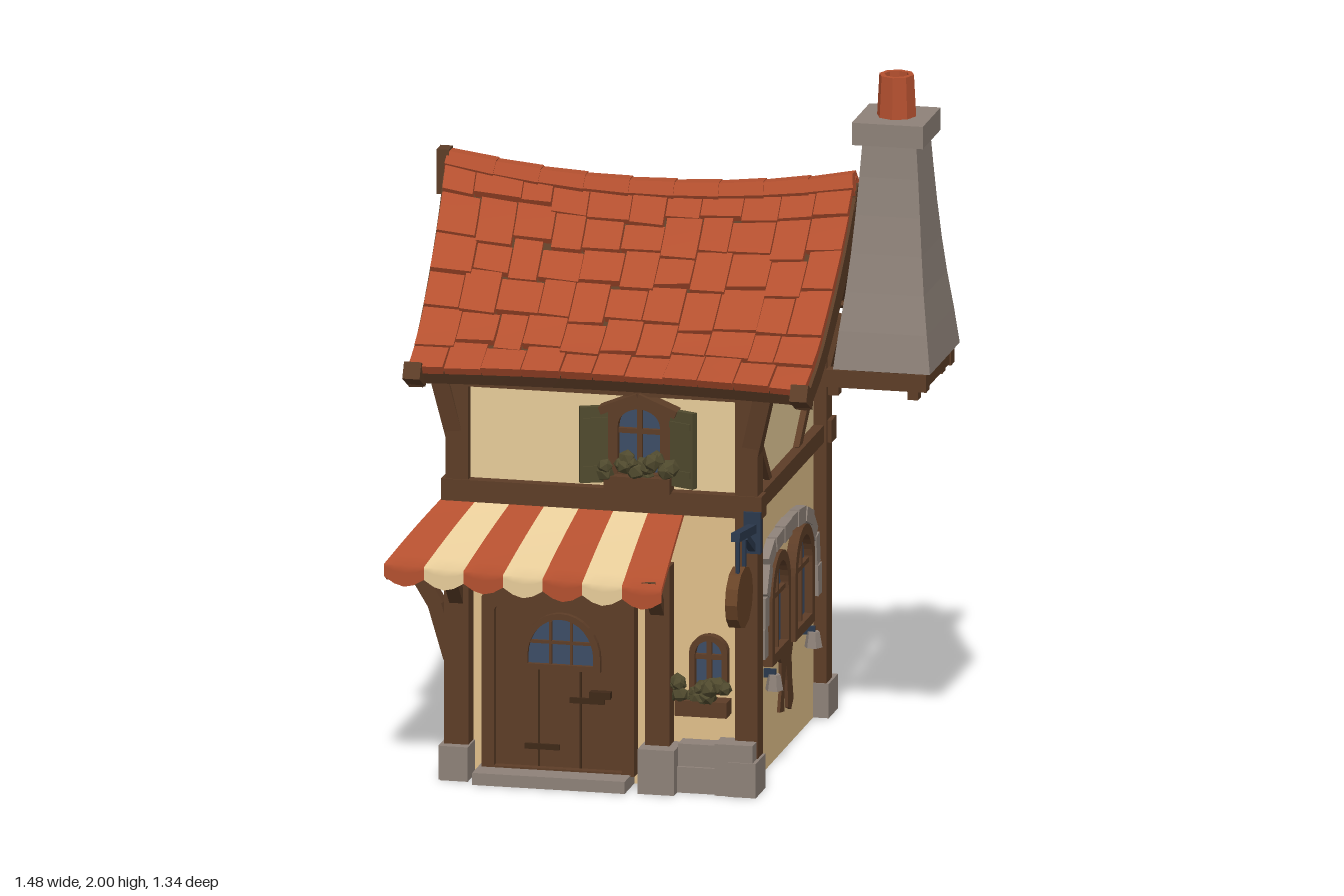
import * as THREE from 'three';
import { mergeGeometries } from 'three/addons/utils/BufferGeometryUtils.js';

const paint = (name, color) => { const m = new THREE.MeshStandardMaterial({ color }); m.name = name; return m; };
const V = (x, y, z = 0) => new THREE.Vector3(x, y, z);
const lerp = THREE.MathUtils.lerp;

export function createModel() {
  const cream = paint('cream plaster', 0xe0c08a), pale = paint('pale cream', 0xe8cd9a);
  const brown = paint('timber brown', 0x5d3d27), dark = paint('dark wood', 0x3f2918);
  const red = paint('terracotta', 0xb4502f), stone = paint('grey stone', 0x8e8279);
  const glass = paint('blue glass', 0x3c4d66), olive = paint('olive green', 0x504a2e);
  const iron = paint('blue iron', 0x2b394d), signWood = paint('sign wood', 0x684327);
  const house = new THREE.Group();
  house.name = 'house';
  let seed = 7;
  const rand = () => (seed = (seed * 16807) % 2147483647) / 2147483647;

  const add = (name, geo, mat, parent = house, pos = [0, 0, 0]) => {
    const m = new THREE.Mesh(geo, mat);
    m.name = name; m.position.set(...pos); parent.add(m);
    return m;
  };
  const flat = g => { const f = g.index ? g.toNonIndexed() : g; f.computeVertexNormals(); return f; };
  // Box given by its lower and upper limits
  const block = (name, mat, [x0, x1], [y0, y1], [z0, z1], parent) =>
    add(name, new THREE.BoxGeometry(x1 - x0, y1 - y0, z1 - z0), mat, parent, [(x0 + x1) / 2, (y0 + y1) / 2, (z0 + z1) / 2]);
  // Straight timber between two points
  const beam = (name, mat, a, b, w, d, parent) => {
    const p = V(...a), q = V(...b), dir = q.clone().sub(p);
    const m = add(name, new THREE.BoxGeometry(w, dir.length(), d), mat, parent, p.add(q).multiplyScalar(0.5).toArray());
    m.quaternion.setFromUnitVectors(V(0, 1), dir.normalize());
  };
  // Slab bent over a surface fn(u, v, height)
  const slab = (fn, [u0, u1], [v0, v1], [h0, h1], su, sv) => {
    const g = new THREE.BoxGeometry(1, 1, 1, su, 1, sv), p = g.attributes.position;
    for (let i = 0; i < p.count; i++)
      p.setXYZ(i, ...fn(lerp(u0, u1, p.getX(i) + 0.5), lerp(v0, v1, p.getZ(i) + 0.5), lerp(h0, h1, p.getY(i) + 0.5)));
    g.computeVertexNormals();
    return g;
  };
  const polygon = pts => new THREE.Shape(pts.map(p => new THREE.Vector2(...p)));
  const extrude = (shape, depth) => new THREE.ExtrudeGeometry(shape, { depth, bevelEnabled: false, curveSegments: 8 });
  const arch = (w, h, rise, y = 0) => {
    const s = new THREE.Shape();
    s.moveTo(-w / 2, y); s.lineTo(w / 2, y); s.lineTo(w / 2, h - rise);
    s.absellipse(0, h - rise, w / 2, rise, 0, Math.PI, false, 0);
    return s;
  };
  const place = (name, pos, turn = 0) => {
    const g = new THREE.Group();
    g.name = name; g.position.set(...pos); g.rotation.y = turn; house.add(g);
    return g;
  };

  // Plaster walls: lower storey, then upper storey with curved gables
  block('lowerWalls', cream, [-0.57, 0.265], [0, 0.83], [-0.48, 0.39]);
  const gable = polygon([[-0.48, 0.83], [0.39, 0.83], [0.39, 1.22], [0.2, 1.35], [0.08, 1.47], [-0.04, 1.58], [-0.16, 1.47], [-0.28, 1.35], [-0.48, 1.2]]);
  add('upperWalls', extrude(gable, 0.835), pale, house, [0.265, 0, 0]).rotation.y = -Math.PI / 2;

  // Corner posts, foot stones, knee brackets and horizontal beams
  for (const x of [-0.565, 0.27]) for (const z of [-0.47, 0.385]) {
    beam('cornerPost', brown, [x, 0.08, z], [x, 1.2, z], 0.065, 0.07);
    block('footStone', stone, [x - 0.04, x + 0.04], [0, 0.1], [z - (z < 0 ? 0.075 : 0.03), z + (z < 0 ? 0.04 : 0.09)]);
    const sx = Math.sign(x), sz = Math.sign(z);
    beam('kneeBracket', brown, [x, 0.95, z], [x + sx * 0.05, 1.16, z + sz * 0.02], 0.05, 0.06);
  }
  for (const [y, h] of [[0.83, 0.065], [1.165, 0.06]]) for (const z of [-0.475, 0.395])
    beam('longBeam', brown, [-0.61, y, z], [0.315, y, z], h, 0.06);
  for (const x of [-0.57, 0.27]) {
    beam('gableBeam', brown, [x, 0.825, -0.5], [x, 0.825, 0.42], 0.05, 0.05);
    beam('gableBrace', brown, [x, 1.07, 0.36], [x, 0.84, 0.16], 0.025, 0.025);
    beam('gableBrace', brown, [x, 1.05, -0.44], [x, 0.84, -0.19], 0.025, 0.03);
    beam('gablePost', brown, [x, 1.35, -0.04], [x, 1.58, -0.04], 0.05, 0.05);
  }
  // Rear framing
  beam('rearSill', brown, [-0.56, 0.14, -0.48], [0.27, 0.14, -0.48], 0.055, 0.04);
  for (const s of [1, -1]) beam('rearCrossBrace', brown, [-0.147 - s * 0.38, 0.17, -0.483], [-0.147 + s * 0.38, 0.8, -0.483], 0.06, 0.03);

  // Sagging, swept roof: u along the ridge, v from ridge to eave
  const sweep = new THREE.CatmullRomCurve3([V(0, 1.615), V(0.11, 1.485), V(0.24, 1.37), V(0.4, 1.255), V(0.55, 1.19)]);
  const roof = side => (u, v, h) => {
    const w = side > 0 ? u : 1 - u, t = 2 * w - 1, p = sweep.getPoint(v);
    const span = (side > 0 ? 0.52 + 0.045 * t * t : 0.54 + 0.055 * t * t) / 0.55;
    return [lerp(-0.7 + 0.02 * v, 0.48 - 0.015 * v, w), p.y + 0.055 * t * t * (1 - v) + h * 0.85, -0.04 + side * (p.x * span + h * 0.5)];
  };
  for (const side of [1, -1]) {
    const fn = roof(side), tiles = [], rows = 6, cols = 11;
    add('roofBoards', slab(fn, [0.005, 0.995], [0, 0.99], [-0.03, 0.004], 10, 8), brown);
    const jitter = (count, spread) => Array.from({ length: count + 1 }, (_, i) => (i + (i % count ? (rand() - 0.5) * spread : 0)) / count);
    const seams = Array.from({ length: rows }, () => jitter(cols, 0.3));
    for (let c = 0; c < cols; c++) {
      const edge = jitter(rows, 0.33);
      for (let r = 0; r < rows; r++) {
        const u0 = seams[r][c] + 0.001, u1 = seams[r][c + 1] - 0.001 - rand() * 0.002, last = r === rows - 1;
        const v0 = edge[r], v1 = edge[r + 1] - (last ? 0 : 0.005), top = 0.022 + rand() * 0.007, skew = last ? 0 : (rand() - 0.5) * 0.02;
        const tile = (u, v, h) => {
          const s = (v - v0) / (v1 - v0);
          return fn(u, v + skew * s * (u - u0) / (u1 - u0), h * (0.7 + 0.3 * s));
        };
        tiles.push(slab(tile, [u0, u1], [v0, v1], [0, top], 1, 2));
      }
    }
    add('roofTiles', mergeGeometries(tiles), red);
    add('eaveBeam', slab(fn, [0, 1], [0.93, 0.99], [-0.045, -0.005], 10, 1), brown);
    for (const e of [-0.005, 0.97]) {
      add('bargeBoard', slab((u, v, h) => fn(u, v, h * (1 - 0.35 * v)), [e, e + 0.035], [0, 1], [-0.085, -0.004], 1, 10), brown);
      const [x, y, z] = fn(e + 0.0175, 1, 0);
      beam('bargeTip', brown, [x, y - 0.025, z - side * 0.05], [x, y + 0.015, z + side * 0.025], 0.05, 0.05);
    }
  }
  // Ridge tiles and end finials
  const ridge = u => { const [x, y] = roof(1)(u, 0, 0); return [x, y - 0.006, -0.04]; };
  for (let i = 0; i < 9; i++) {
    const a = V(...ridge(i / 9)), b = V(...ridge((i + 1.08) / 9.08));
    const m = add('ridgeTile', flat(new THREE.CylinderGeometry(0.041, 0.037, a.distanceTo(b), 6)), red, house, a.clone().lerp(b, 0.5).toArray());
    m.quaternion.setFromUnitVectors(V(0, 1), b.sub(a).normalize());
  }
  block('ridgeFinial', brown, [-0.725, -0.69], [1.57, 1.7], [-0.065, -0.015]);
  block('ridgeFinial', brown, [0.46, 0.485], [1.54, 1.65], [-0.065, -0.015]);

  // Chimney: flared stack, cap, pot and timber cradle
  const stack = new THREE.BoxGeometry(1, 1, 1, 1, 6, 1), sp = stack.attributes.position;
  const flare = [[0.14, 0.185], [0.127, 0.168], [0.113, 0.145], [0.102, 0.124], [0.093, 0.107], [0.085, 0.094], [0.077, 0.086]];
  for (let i = 0; i < sp.count; i++) {
    const k = Math.round((sp.getY(i) + 0.5) * 6), [w, d] = flare[k];
    sp.setXYZ(i, 0.603 + sp.getX(i) * 2 * w, 1.18 + k * 0.108, -0.01 + sp.getZ(i) * 2 * d);
  }
  add('chimneyStack', flat(stack), stone);
  block('chimneyCap', stone, [0.5, 0.705], [1.815, 1.88], [-0.12, 0.1]);
  add('chimneyPot', flat(new THREE.LatheGeometry([[0.057, 1.87], [0.05, 2], [0.035, 2], [0.034, 1.9], [0, 1.9]].map(p => new THREE.Vector2(...p)), 8)), red, house, [0.604, 0, -0.01]);
  block('cradleFloor', dark, [0.48, 0.72], [1.165, 1.18], [-0.18, 0.16]);
  for (const s of [-1, 1]) {
    beam('cradleBeam', brown, [0.44, 1.15, s * 0.155 - 0.01], [0.73, 1.15, s * 0.155 - 0.01], 0.05, 0.04);
    block('cradleCross', brown, [0.6 + s * 0.105 - 0.02, 0.6 + s * 0.105 + 0.02], [1.13, 1.18], [-0.18, 0.16]);
    for (const x of [0.46, 0.69]) block('cradleFoot', brown, [x - 0.015, x + 0.015], [1.1, 1.14], [s * 0.15 - 0.03, s * 0.15 + 0.01]);
  }

  // Striped awning wrapping the front and left walls
  const awning = (ta, tb, ba, bb, n) => {
    const fn = (u, v, h) => {
      const s = Math.min(1, v / 0.8), drop = Math.max(0, v - 0.8) / 0.2;
      const p = V(...ta).lerp(V(...tb), u).lerp(V(...ba).lerp(V(...bb), u), s);
      const scallop = 0.02 + 0.025 * Math.abs(Math.sin(u * n * Math.PI));
      return [p.x, p.y + h + 0.004 * Math.sin(s * Math.PI) - drop * scallop, p.z];
    };
    for (let i = 0; i < n; i++)
      add('awningStripe', slab(fn, [i / n, (i + 1) / n], [0, 1], [-0.012, 0.005], 4, 10), i % 2 ? pale : red);
  };
  awning([-0.6, 0.81, 0.41], [0.09, 0.81, 0.41], [-0.74, 0.64, 0.57], [0.06, 0.61, 0.57], 7);
  awning([-0.59, 0.81, -0.46], [-0.6, 0.81, 0.41], [-0.74, 0.64, -0.575], [-0.74, 0.64, 0.57], 9);
  for (const z of [-0.45, 0.4]) {
    beam('awningStrut', brown, [-0.585, 0.34, z], [-0.635, 0.51, z], 0.04, 0.04);
    beam('awningStrut', brown, [-0.625, 0.49, z], [-0.71, 0.63, z], 0.045, 0.04);
  }

  // Front porch posts, stones and step
  for (const x of [-0.56, 0.02]) {
    block('porchPost', brown, [x - 0.035, x + 0.035], [0.08, 0.65], [0.39, 0.45]);
    beam('porchBrace', brown, [x, 0.52, 0.44], [x, 0.64, 0.55], 0.04, 0.03);
  }
  block('postStone', stone, [-0.6, -0.52], [0, 0.1], [0.36, 0.48]);
  block('postStone', stone, [-0.025, 0.08], [0, 0.13], [0.36, 0.5]);
  block('plinthStone', stone, [0.08, 0.19], [0, 0.075], [0.36, 0.46]);
  block('plinthStone', stone, [0.08, 0.2], [0.075, 0.14], [0.36, 0.45]);
  block('plinthStone', stone, [0.19, 0.3], [0, 0.15], [0.37, 0.47]);
  block('doorStep', stone, [-0.5, -0.06], [0, 0.035], [0.36, 0.51]);

  // Front door under a shallow arched lintel, with its little window
  const door = place('frontDoor', [-0.27, 0.03, 0.39]);
  const doorFrame = arch(0.44, 0.56, 0.06);
  doorFrame.holes.push(arch(0.37, 0.51, 0.05, 0.01));
  add('doorFrame', extrude(doorFrame, 0.045), brown, door);
  add('doorLeaf', extrude(arch(0.37, 0.51, 0.05), 0.02), brown, door);
  for (const x of [-0.06, 0.06]) block('plankGap', dark, [x - 0.003, x + 0.003], [0.01, 0.3], [0.019, 0.022], door);
  const pane = place('doorWindow', [-0.265, 0.325, 0.408]);
  const paneFrame = arch(0.23, 0.165, 0.13);
  paneFrame.holes.push(arch(0.19, 0.148, 0.11, 0.016));
  add('paneFrame', extrude(paneFrame, 0.02), brown, pane);
  add('paneGlass', extrude(arch(0.2, 0.153, 0.115, 0.01), 0.006), glass, pane);
  for (const x of [-0.03, 0.03]) block('paneBar', brown, [x - 0.004, x + 0.004], [0.01, 0.14], [0, 0.014], pane);
  block('paneBar', brown, [-0.09, 0.09], [0.075, 0.084], [0, 0.014], pane);
  block('doorHandle', dark, [0.09, 0.15], [0.22, 0.24], [0.02, 0.045], door);
  for (const [x, y] of [[-0.1, 0.06], [0.03, 0.2]]) block('doorHinge', dark, [x, x + 0.1], [y, y + 0.016], [0.02, 0.028], door);

  // Arched window facing +z of its parent, base at y
  const archWindow = (parent, x, y, w, h, rise, border) => {
    const g = new THREE.Group();
    g.name = 'window'; g.position.set(x, y, 0); parent.add(g);
    const f = arch(w, h, rise);
    f.holes.push(arch(w - border * 2, h - border, rise * 0.85, border));
    add('windowFrame', extrude(f, 0.03), brown, g);
    add('windowGlass', extrude(arch(w - border, h - border / 2, rise * 0.9, 0.01), 0.006), glass, g);
    block('windowMullion', brown, [-0.007, 0.007], [0.01, h - border], [0, 0.02], g);
    block('windowTransom', brown, [-w / 2 + 0.01, w / 2 - 0.01], [h * 0.58, h * 0.58 + 0.014], [0, 0.02], g);
  };
  const planter = (parent, x, y, w) => {
    block('planterBox', brown, [x - w / 2, x + w / 2], [y, y + 0.045], [0, 0.06], parent);
    for (let i = 0; i < 20; i++) {
      const leaf = add('leaves', new THREE.IcosahedronGeometry(0.017 + rand() * 0.012), olive, parent, [x + (rand() - 0.5) * w, y + 0.045 + rand() * 0.05, 0.025 + rand() * 0.035]);
      leaf.rotation.set(rand() * 3, rand() * 3, 0);
    }
  };
  // Shuttered upper windows on the front and left
  for (const [pos, turn, size] of [[[-0.04, 0.865, 0.39], 0, 1], [[-0.57, 0.87, 0.03], -Math.PI / 2, 1.3]]) {
    const g = place('shutteredWindow', pos, turn);
    g.scale.set(size, size, 1);
    archWindow(g, 0, 0.01, 0.19, 0.255, 0.06, 0.034);
    planter(g, 0, -0.005, 0.19);
    for (const s of [-1, 1]) {
      beam('windowHood', brown, [s * 0.11, 0.225, 0.02], [0, 0.27, 0.02], 0.022, 0.06, g);
      const sh = add('shutter', new THREE.BoxGeometry(0.085, 0.22, 0.02), olive, g, [s * 0.127, 0.125, 0.035]);
      sh.rotation.y = -s * 0.4;
      for (const y of [-0.07, 0.07]) add('shutterBar', new THREE.BoxGeometry(0.07, 0.018, 0.03), olive, sh, [0, y, 0]);
    }
  }
  const small = place('smallFrontWindow', [0.16, 0.21, 0.39]);
  archWindow(small, 0, 0.07, 0.11, 0.17, 0.05, 0.016);
  planter(small, -0.015, 0.01, 0.15);

  // Right wall: twin windows, stone surround, lanterns and trunk shape below
  const twin = place('twinWindows', [0.265, 0, 0], Math.PI / 2);
  archWindow(twin, -0.085, 0.31, 0.23, 0.31, 0.12, 0.03);
  archWindow(twin, 0.205, 0.31, 0.24, 0.31, 0.12, 0.03);
  const surround = new THREE.CatmullRomCurve3([V(-0.25, 0.35), V(-0.25, 0.55), V(-0.18, 0.635), V(-0.05, 0.655), V(0.15, 0.655), V(0.28, 0.63), V(0.37, 0.55), V(0.385, 0.37)]);
  for (let i = 0; i < 12; i++)
    beam('surroundStone', stone, surround.getPointAt(i / 12).toArray(), surround.getPointAt((i + 1) / 12 - 0.002).toArray(), 0.042 + (i % 2) * 0.006, 0.05 + (i % 3) * 0.006, twin);
  add('trunk', extrude(polygon([[-0.04, 0.32], [0.16, 0.32], [0.125, 0.26], [0.13, 0.2], [0.15, 0.13], [0.12, 0.105], [0.08, 0.12], [0.075, 0.2], [0.06, 0.25], [0.04, 0.2], [0.035, 0.12], [-0.02, 0.13], [0.005, 0.2], [0, 0.27]]), 0.009), brown, twin);
  for (const x of [-0.18, 0.305]) {
    block('lanternHook', iron, [x - 0.005, x + 0.005], [0.275, 0.3], [0, 0.035], twin);
    add('lantern', flat(new THREE.CylinderGeometry(0.018, 0.026, 0.045, 6)), stone, twin, [x, 0.262, 0.03]);
  }

  // Left wall: shop window filled with loaves
  const shop = place('shopWindow', [-0.57, 0, -0.03], -Math.PI / 2);
  block('shopDark', dark, [-0.36, 0.36], [0.14, 0.68], [0, 0.006], shop);
  for (const s of [-1, 1]) block('shopJamb', brown, [s * 0.36 - 0.02, s * 0.36 + 0.02], [0.1, 0.7], [0, 0.035], shop);
  for (const [y, d] of [[0.1, 0.05], [0.67, 0.035]]) block('shopRail', brown, [-0.37, 0.37], [y, y + 0.04], [0, d], shop);
  for (const y of [0.24, 0.43]) block('shopShelf', brown, [-0.35, 0.35], [y, y + 0.015], [0, 0.03], shop);
  for (const [y, n] of [[0.29, 7], [0.36, 6], [0.48, 7], [0.54, 5]]) for (let i = 0; i < n; i++) {
    const loaf = add('loaf', flat(new THREE.IcosahedronGeometry(0.04, 1)), pale, shop, [-0.3 + i * 0.092 + rand() * 0.03, y + rand() * 0.02, 0.012]);
    loaf.scale.set(0.9 + rand() * 0.5, 0.8 + rand() * 0.3, 0.6);
    loaf.rotation.z = rand() * 2 - 1;
  }

  // Hanging sign on an iron bracket
  beam('signBracket', iron, [0.29, 0.77, 0.41], [0.29, 0.8, 0.64], 0.025, 0.025);
  beam('signBrace', iron, [0.29, 0.71, 0.42], [0.29, 0.775, 0.53], 0.02, 0.02);
  block('signPlate', iron, [0.265, 0.315], [0.7, 0.82], [0.41, 0.435]);
  for (const z of [0.53, 0.61]) beam('signChain', iron, [0.29, 0.67, z], [0.29, 0.79, z], 0.01, 0.01);
  const sign = add('signBoard', flat(new THREE.CylinderGeometry(0.1, 0.1, 0.035, 12)), signWood, house, [0.285, 0.61, 0.575]);
  sign.rotation.z = Math.PI / 2;
  sign.scale.x = 0.88;
  return house;
}
